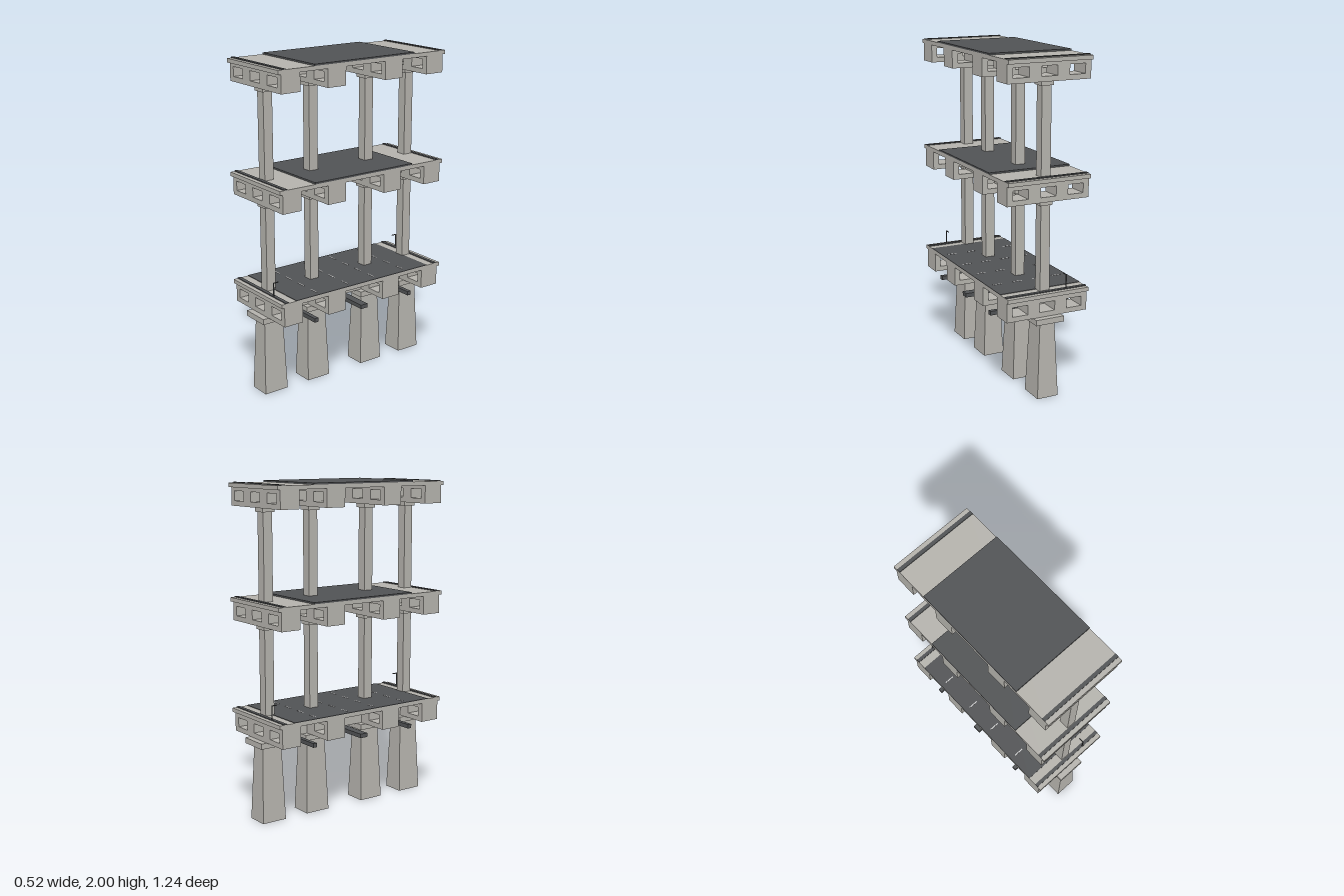
import * as THREE from 'three';

const concrete = new THREE.MeshStandardMaterial({ color: 0xb4b2ac });
const asphalt = new THREE.MeshStandardMaterial({ color: 0x505254 });
const paint = new THREE.MeshStandardMaterial({ color: 0xd8d8d4 });

const ROWS = [0.52, 0.206, -0.206, -0.52]; // column lines along z
const HALF = 0.26;                         // half length of the deck along x

function add(parent, name, geometry, material, x = 0, y = 0, z = 0) {
  const mesh = new THREE.Mesh(geometry, material);
  mesh.name = name;
  mesh.position.set(x, y, z);
  parent.add(mesh);
  return mesh;
}

// Box given by its bottom and top heights
function block(parent, name, material, w, y0, y1, d, x = 0, z = 0) {
  return add(parent, name, new THREE.BoxGeometry(w, y1 - y0, d), material, x, (y0 + y1) / 2, z);
}

// Cross beam pierced by three rectangular openings
function beamGeometry(height, depth) {
  const rect = (path, x0, y0, x1, y1) =>
    path.moveTo(x0, y0).lineTo(x1, y0).lineTo(x1, y1).lineTo(x0, y1).closePath();
  const shape = new THREE.Shape();
  rect(shape, -HALF, 0, HALF, height);
  for (const x of [-0.175, 0, 0.175]) {
    const hole = new THREE.Path();
    rect(hole, x - 0.049, 0.03, x + 0.049, 0.087);
    shape.holes.push(hole);
  }
  return new THREE.ExtrudeGeometry(shape, { depth, bevelEnabled: false }).translate(0, 0, -depth / 2);
}

// Tapered pier standing on y = 0
function pierGeometry(height) {
  const g = new THREE.BoxGeometry(0.135, height, 0.16).translate(0, height / 2, 0);
  const p = g.attributes.position;
  for (let i = 0; i < p.count; i++) {
    if (p.getY(i) > height / 2) p.setXYZ(i, p.getX(i) * 0.7, p.getY(i), p.getZ(i) * 0.8);
  }
  g.computeVertexNormals();
  return g;
}

// One deck: slab, cross beams, road surface and edge strips
function makeDeck(name, base, top, roadHalf, roadTop) {
  const deck = new THREE.Group();
  deck.name = name;
  const slabBottom = top - 0.024;
  block(deck, 'slab', concrete, HALF * 2 + 0.002, slabBottom, top, 1.204);
  const beam = beamGeometry(slabBottom - base, 0.127);
  for (const z of ROWS) add(deck, 'crossBeam', beam, concrete, 0, base, z);
  block(deck, 'road', asphalt, HALF * 2 + 0.002, top, roadTop, roadHalf * 2);
  for (const s of [-1, 1]) {
    block(deck, 'edgeStrip', asphalt, HALF * 2 + 0.002, top, top + 0.005, 0.022, 0, s * 0.564);
  }
  return deck;
}

// Columns with a stepped capital under the next deck
function makeColumns(name, bottom, top) {
  const group = new THREE.Group();
  group.name = name;
  for (const z of ROWS) {
    block(group, 'column', concrete, 0.06, bottom, top - 0.025, 0.06, 0, z);
    block(group, 'capital', concrete, 0.08, top - 0.025, top, 0.08, 0, z);
  }
  return group;
}

// Thin lamp post with an arm reaching over the road
function makeLamp(y) {
  const lamp = new THREE.Group();
  lamp.name = 'lampPost';
  block(lamp, 'post', asphalt, 0.005, y, 0.732, 0.005);
  block(lamp, 'arm', asphalt, 0.005, 0.727, 0.732, 0.034, 0, -0.015);
  return lamp;
}

export function createModel() {
  const model = new THREE.Group();
  model.name = 'stackedViaduct';

  // Piers and their caps
  const pier = pierGeometry(0.468);
  for (const z of ROWS) {
    add(model, 'pier', pier, concrete, 0, 0, z);
    block(model, 'pierCap', concrete, 0.18, 0.466, 0.5, 0.2, 0, z);
  }

  // Girders tying the lowest beams together
  for (const [z, length] of [[0.363, 0.19], [0, 0.29], [-0.363, 0.19]]) {
    block(model, 'tieGirder', concrete, 0.096, 0.5, 0.578, length, 0, z);
  }

  // Dark rails hanging beneath the lowest deck
  for (const [z, width] of [[0.358, 0.026], [0, 0.05], [-0.358, 0.026]]) {
    block(model, 'underRail', asphalt, HALF * 2, 0.475, 0.5, width, 0, z);
  }

  // Three decks
  model.add(makeDeck('lowerDeck', 0.5, 0.643, 0.5, 0.646));
  model.add(makeDeck('middleDeck', 1.18, 1.318, 0.36, 1.328));
  model.add(makeDeck('upperDeck', 1.858, 1.99, 0.36, 2.0));

  // Dashed lane lines on the lower road
  for (const z of [-0.33, -0.1, 0.1, 0.33]) {
    for (let i = 0; i < 4; i++) {
      block(model, 'laneDash', paint, 0.06, 0.646, 0.6475, 0.007, -0.195 + i * 0.13, z);
    }
  }

  // Columns between decks
  model.add(makeColumns('lowerColumns', 0.643, 1.18));
  model.add(makeColumns('upperColumns', 1.318, 1.858));

  // Two lamps, opposite each other by half a turn
  for (const s of [1, -1]) {
    const lamp = makeLamp(0.643);
    lamp.position.set(0.13 * s, 0, 0.57 * s);
    lamp.rotation.y = s > 0 ? 0 : Math.PI;
    model.add(lamp);
  }
  return model;
}
